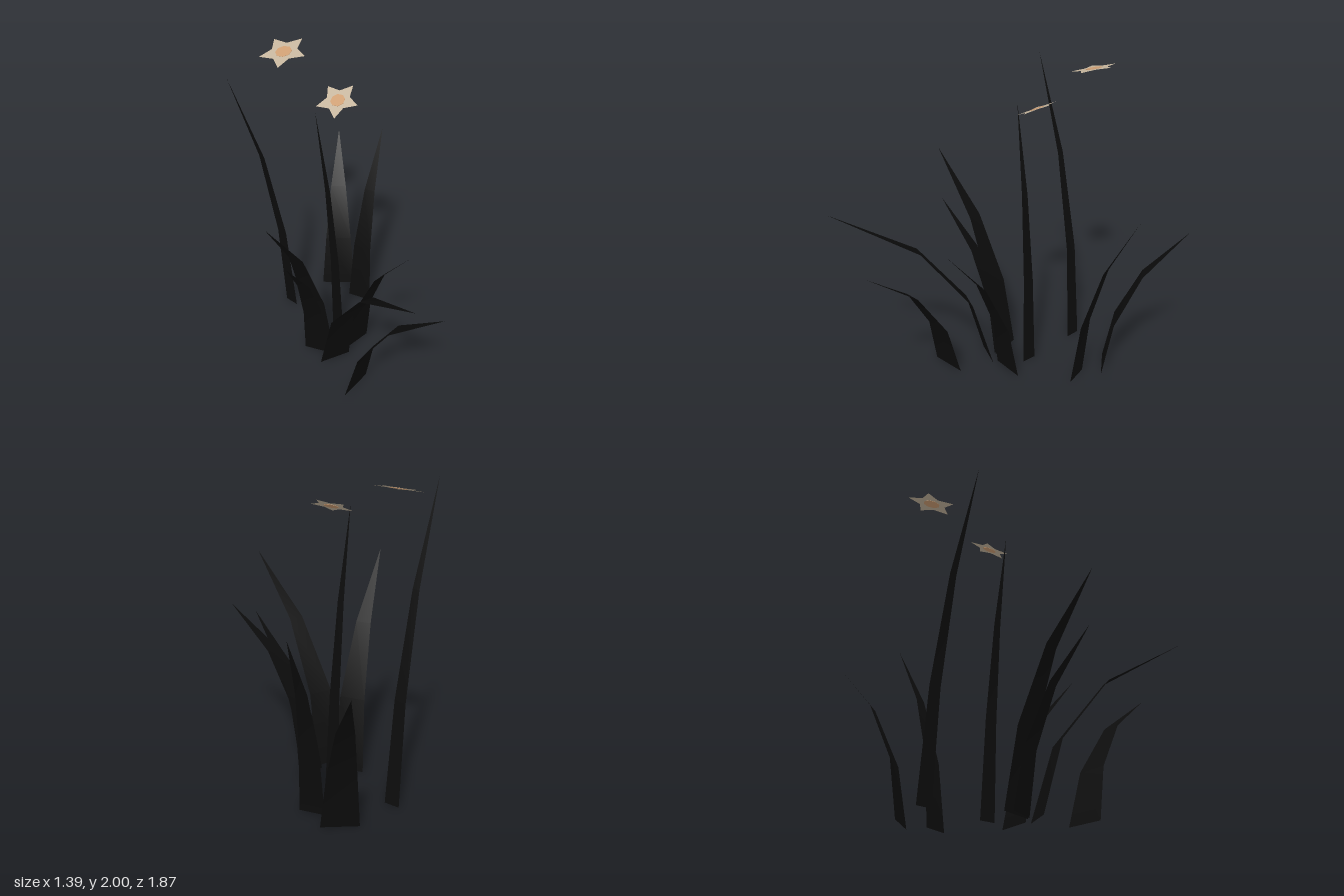
import * as THREE from 'three';

const leafMat = new THREE.MeshStandardMaterial({ color: 0x0c0c0c, side: THREE.DoubleSide });
leafMat.name = 'darkLeaf';
const petalMat = new THREE.MeshStandardMaterial({ color: 0xc6b69e, side: THREE.DoubleSide });
petalMat.name = 'palePetal';
const coreMat = new THREE.MeshStandardMaterial({ color: 0xcf9f74 });
coreMat.name = 'orangeCore';

// Flat tapering strip that leans from a base centre to a pointed tip;
// its width lies level and square to the lean.
function blade(name, [bx, bz], [tx, ty, tz], width) {
  const dx = tx - bx, dz = tz - bz, lean = Math.hypot(dx, dz), r = lean / ty;
  const sx = -dz / lean * width / 2, sz = dx / lean * width / 2;
  const rows = [ // height, lean and width fractions
    [0, 0, 1],
    [0.333 + 0.05 * r, 0.13, 0.76],
    [0.667 + 0.065 * r, 0.455, 0.45],
  ];
  const pos = [], idx = [];
  for (const [h, l, w] of rows) {
    for (const s of [1, -1]) pos.push(bx + dx * l + s * sx * w, ty * h, bz + dz * l + s * sz * w);
  }
  pos.push(tx, ty, tz);
  for (let i = 0; i < 4; i += 2) idx.push(i, i + 1, i + 3, i, i + 3, i + 2);
  idx.push(4, 5, 6);
  const geo = new THREE.BufferGeometry();
  geo.setAttribute('position', new THREE.Float32BufferAttribute(pos, 3));
  geo.setIndex(idx);
  geo.computeVertexNormals();
  const mesh = new THREE.Mesh(geo, leafMat);
  mesh.name = name;
  return mesh;
}

// Thin five-pointed blossom with a round core, tilted by its slopes along x and z
function flower(name, centre, radius, slopeX, slopeZ) {
  const group = new THREE.Group();
  group.name = name;
  const pts = [];
  for (let i = 0; i < 10; i++) {
    const a = i * Math.PI / 5, r = i % 2 ? radius * 0.55 : radius;
    pts.push(new THREE.Vector2(Math.cos(a) * r, Math.sin(a) * r));
  }
  const petals = new THREE.Mesh(new THREE.ShapeGeometry(new THREE.Shape(pts)).rotateX(-Math.PI / 2), petalMat);
  petals.name = 'petals';
  const core = new THREE.Mesh(new THREE.CylinderGeometry(radius * 0.34, radius * 0.34, 0.004, 8), coreMat);
  core.name = 'core';
  group.add(petals, core);
  group.position.set(...centre);
  const normal = new THREE.Vector3(-slopeX, 1, -slopeZ).normalize();
  group.quaternion.setFromUnitVectors(new THREE.Vector3(0, 1, 0), normal);
  return group;
}

export function createModel() {
  const model = new THREE.Group();
  model.name = 'floweringGrass';

  // Broad leaves: base centre (x, z), tip, base width
  const leaves = [
    [[0.355, -0.59], [0.69, 1.04, -0.94], 0.235],
    [[0.355, -0.365], [0.695, 1.24, -0.5], 0.165],
    [[-0.185, -0.03], [-0.465, 1.24, 0.93], 0.21],
    [[-0.255, 0.25], [-0.14, 0.93, 0.865], 0.233],
    [[0.02, -0.045], [0.04, 1.025, 0.43], 0.22],
    [[-0.19, -0.175], [-0.7, 1.375, 0], 0.22],
    [[-0.22, -0.16], [-0.605, 1.06, 0.045], 0.19],
  ];
  leaves.forEach(([base, tip, w], i) => model.add(blade('leaf' + (i + 1), base, tip, w)));

  // Tall slender stems
  model.add(blade('tallStem', [-0.04, -0.665], [-0.435, 1.97, -0.622], 0.1));
  model.add(blade('shortStem', [0.02, -0.225], [-0.13, 1.8, -0.218], 0.1));

  // Blossoms
  model.add(flower('upperFlower', [0.025, 1.963, -0.68], 0.152, 0.26, -0.04));
  model.add(flower('lowerFlower', [0.05, 1.807, -0.226], 0.132, 0.45, -0.13));
  return model;
}
